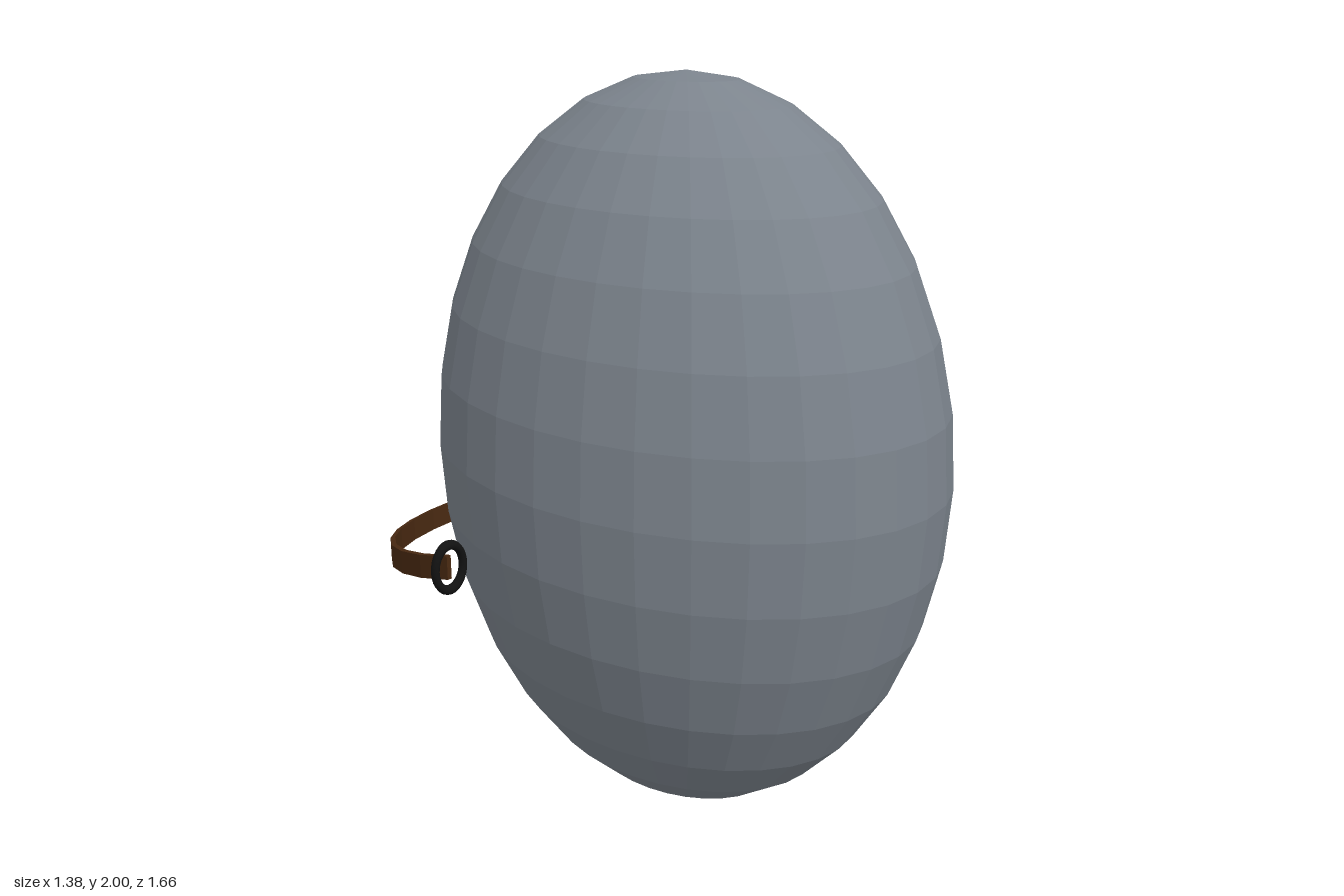
import * as THREE from 'three';

const material = (name, color, flatShading = false) => {
  const m = new THREE.MeshStandardMaterial({ color, flatShading });
  m.name = name;
  return m;
};

export function createModel() {
  const grey = material('slate grey', 0x7c848d, true);
  const brown = material('brown leather', 0x4a2a12, true);
  const black = material('black metal', 0x121212);
  const model = new THREE.Group();
  model.name = 'strappedEgg';
  const add = (name, geometry, mat) => {
    const mesh = new THREE.Mesh(geometry, mat);
    mesh.name = name;
    model.add(mesh);
    return mesh;
  };

  // Faceted egg-shaped body
  const body = new THREE.SphereGeometry(1, 32, 16);
  body.scale(0.565, 1, 0.76).translate(0, 1, 0.07);
  add('body', body, grey);

  // Half-loop strap behind the body, sloping down towards the back
  const ringX = 0.637, ringY = 0.797, ringZ = -0.17;
  const thickness = 0.013, height = 0.065, segments = 17;
  const arc = (offset) => Array.from({ length: segments + 1 }, (_, i) => {
    const a = (Math.PI * i) / segments;
    return new THREE.Vector2(Math.cos(a) * (0.637 + offset), Math.sin(a) * (0.655 + offset));
  });
  const outline = [...arc(thickness / 2), ...arc(-thickness / 2).reverse()];
  const strap = new THREE.ExtrudeGeometry(new THREE.Shape(outline), { depth: height, bevelEnabled: false });
  strap.rotateX(-Math.PI / 2).translate(0, -height / 2, 0);
  const p = strap.attributes.position;
  for (let i = 0; i < p.count; i++) p.setY(i, p.getY(i) + p.getZ(i) * 0.277);
  strap.translate(0, ringY, ringZ);
  strap.computeVertexNormals();
  add('strap', strap, brown);

  // Oval ring at each end of the strap
  for (const side of [1, -1]) {
    const ring = add(side > 0 ? 'leftRing' : 'rightRing', new THREE.TorusGeometry(0.061, 0.013, 10, 28), black);
    ring.scale.x = 0.75;
    ring.position.set(side * ringX, ringY, ringZ);
  }
  return model;
}
